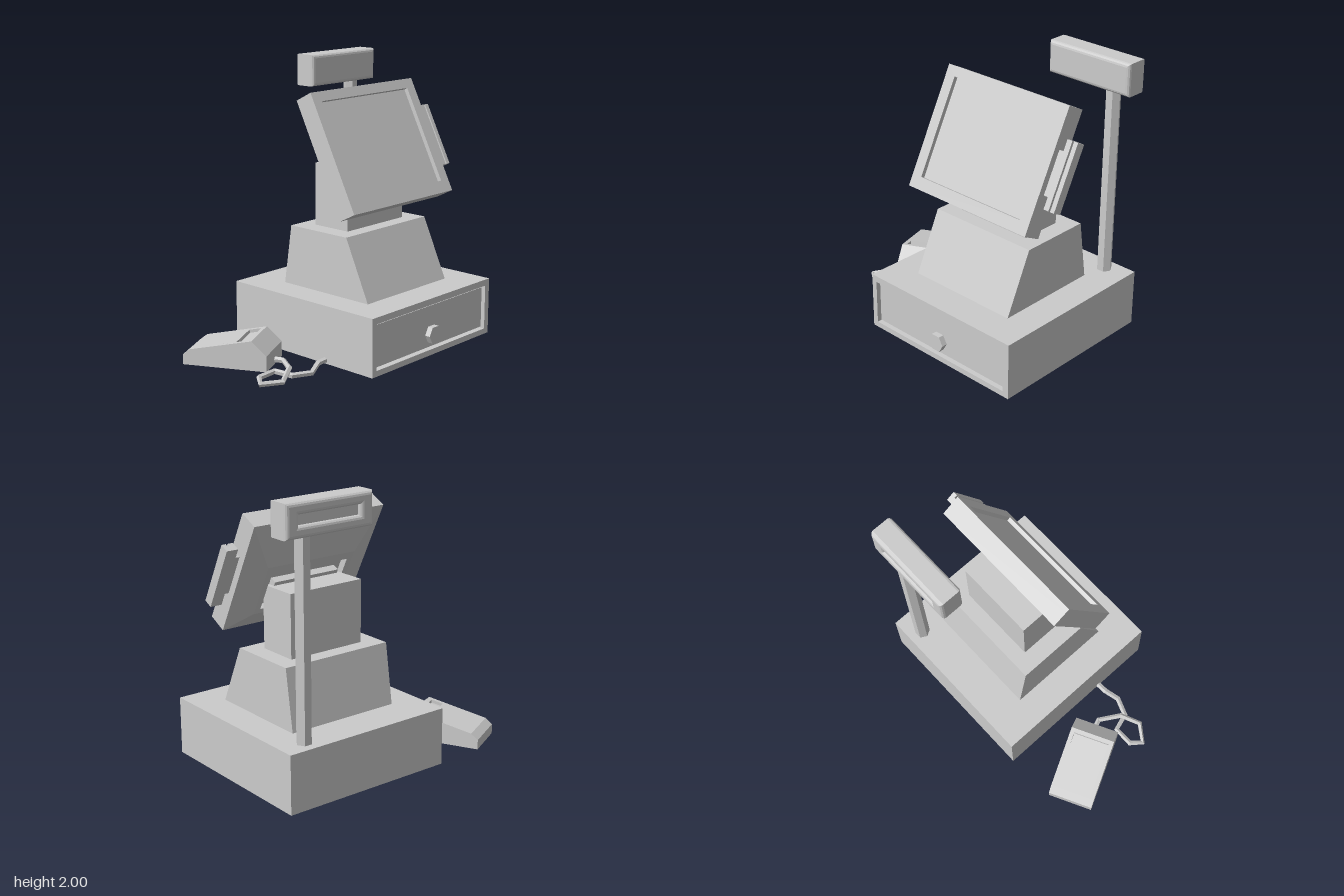
import * as THREE from 'three';

const material = new THREE.MeshStandardMaterial({ color: 0xcccccc, flatShading: true, side: THREE.DoubleSide });
const CX = 0.3175; // centre line of the till

function add(parent, name, geometry) {
  const mesh = new THREE.Mesh(geometry, material);
  mesh.name = name;
  parent.add(mesh);
  return mesh;
}

// Box given by its min and max on each axis
function box(parent, name, [x0, x1], [y0, y1], [z0, z1]) {
  const g = new THREE.BoxGeometry(x1 - x0, y1 - y0, z1 - z0);
  return add(parent, name, g.translate((x0 + x1) / 2, (y0 + y1) / 2, (z0 + z1) / 2));
}

const rect = ([x0, x1], [y0, y1]) =>
  [[x0, y0], [x1, y0], [x1, y1], [x0, y1]].map(p => new THREE.Vector2(...p));

// Rectangular frame with a rectangular opening, extruded from z0 to z1
function frame(parent, name, outer, hole, [z0, z1], options = {}) {
  const shape = new THREE.Shape(rect(...outer));
  shape.holes.push(new THREE.Path(rect(...hole)));
  const g = new THREE.ExtrudeGeometry(shape, { depth: z1 - z0, bevelEnabled: false, ...options });
  return add(parent, name, g.translate(0, 0, z0));
}

// Side profile of [z, y] points, extruded across x
function sideExtrude(parent, name, profile, [x0, x1]) {
  const shape = new THREE.Shape(profile.map(p => new THREE.Vector2(...p)));
  const g = new THREE.ExtrudeGeometry(shape, { depth: x1 - x0, bevelEnabled: false });
  return add(parent, name, g.rotateY(-Math.PI / 2).translate(x1, 0, 0));
}

// Back shell lofted through rectangles [halfWidth, bottom, top, z], closed at the last one
function loftBack(rings) {
  const pos = [], idx = [];
  rings.forEach(([w, b, t, z], i) => {
    pos.push(w, b, z, -w, b, z, -w, t, z, w, t, z);
    if (i === 0) return;
    for (let j = 0; j < 4; j++) {
      const k = (j + 1) % 4, p = 4 * (i - 1), q = 4 * i;
      idx.push(p + j, p + k, q + k, p + j, q + k, q + j);
    }
  });
  const n = 4 * (rings.length - 1);
  idx.push(n, n + 1, n + 2, n, n + 2, n + 3);
  const g = new THREE.BufferGeometry();
  g.setAttribute('position', new THREE.Float32BufferAttribute(pos, 3));
  g.setIndex(idx);
  const flat = g.toNonIndexed();
  flat.computeVertexNormals();
  return flat;
}

function cashDrawer() {
  const g = new THREE.Group();
  g.name = 'cashDrawer';
  const X = [-0.315, 0.955], Y = [0.03, 0.435];
  box(g, 'drawerCase', X, Y, [-0.65, 0.585]);
  frame(g, 'drawerSurround', [X, Y], [[-0.275, 0.91], [0.07, 0.39]], [0.585, 0.63]);
  box(g, 'drawerFront', [-0.26, 0.895], [0.085, 0.377], [0.57, 0.61]);
  const knob = new THREE.CylinderGeometry(0.065, 0.065, 0.06, 6).rotateY(Math.PI / 2).rotateX(Math.PI / 2);
  add(g, 'drawerLock', knob).position.set(0.32, 0.175, 0.62);
  return g;
}

function monitor() {
  // local y runs up the tilted screen, local z out of its face
  const g = new THREE.Group();
  g.name = 'monitor';
  g.position.set(CX, 1.06, 0.37);
  g.rotation.x = -0.471;
  const X = [-0.5225, 0.5225], Y = [0, 0.859];
  box(g, 'screen', X, Y, [-0.143, -0.03]);
  frame(g, 'screenBezel', [X, Y], [[-0.4425, 0.4425], [0.085, 0.79]], [-0.03, 0]);
  add(g, 'monitorBack', loftBack([
    [0.5225, 0, 0.859, -0.143], [0.355, 0.145, 0.538, -0.197],
    [0.31, 0.18, 0.48, -0.197], [0.31, 0.18, 0.48, -0.15],
  ]));
  box(g, 'hinge', [-0.26, 0.26], [0.3, 0.4], [-0.2, -0.145]);
  // Card reader: two plates with a swipe slot between them
  box(g, 'readerBracket', [0.52, 0.57], [0.28, 0.58], [-0.092, -0.048]);
  box(g, 'readerInnerPlate', [0.5625, 0.602], [0.2, 0.66], [-0.104, -0.037]);
  box(g, 'readerCore', [0.6, 0.618], [0.2, 0.66], [-0.104, -0.06]);
  box(g, 'readerOuterPlate', [0.615, 0.647], [0.2, 0.66], [-0.104, -0.037]);
  return g;
}

function customerDisplay() {
  const g = new THREE.Group();
  g.name = 'customerDisplay';
  const pole = new THREE.CylinderGeometry(0.0525, 0.0525, 1.38, 6).rotateY(Math.PI / 2);
  add(g, 'displayPole', pole).position.set(0.772, 1.115, -0.545);
  const r = 0.025, hole = [[0.36, 0.875], [1.83, 1.945]];
  frame(g, 'displayHousing', [[0.285 + r, 0.95 - r], [1.775 + r, 2 - r]], hole, [-0.63 + r, -0.46 - r],
    { bevelEnabled: true, bevelSize: r, bevelThickness: r, bevelSegments: 3 });
  box(g, 'displayPanel', ...hole, [-0.6, -0.46]);
  return g;
}

function scanner() {
  const g = new THREE.Group();
  g.name = 'scanner';
  g.position.set(-0.825, 0, -0.555);
  g.rotation.y = 0.475;
  const tail = [[0, 0.03], [0, 0.1], [0.05, 0.14]];
  const nose = [[0.485, 0.235], [0.59, 0.14], [0.59, 0.03]];
  const windowNotch = [[0.37, 0.21], [0.375, 0.188], [0.455, 0.206], [0.455, 0.2285]];
  sideExtrude(g, 'scannerBody', [...tail, ...windowNotch, ...nose], [-0.133, 0.133]);
  for (const x of [-0.163, 0.133]) sideExtrude(g, 'scannerSide', [...tail, ...nose], [x, x + 0.03]);
  return g;
}

// Angular cable: one straight piece between each pair of points
function cable() {
  const points = [
    [-0.55, 0.06, -0.05], [-0.52, 0.06, 0.02], [-0.61, 0.065, 0.165], [-0.74, 0.025, 0.235],
    [-0.86, 0.02, 0.15], [-0.8, 0.03, 0.075], [-0.66, 0.035, 0.075], [-0.62, 0.025, 0.2],
    [-0.49, 0.02, 0.25], [-0.39, 0.055, 0.215], [-0.3, 0.055, 0.21],
  ].map(p => new THREE.Vector3(...p));
  const curve = new THREE.CatmullRomCurve3(points);
  curve.getPointAt = curve.getPoint;
  curve.getTangentAt = curve.getTangent;
  return new THREE.TubeGeometry(curve, points.length - 1, 0.02, 5);
}

export function createModel() {
  const model = new THREE.Group();
  model.name = 'cashRegister';
  model.add(cashDrawer(), monitor(), customerDisplay(), scanner());
  sideExtrude(model, 'pedestal', [[0.4, 0.435], [0.205, 0.86], [-0.31, 0.86], [-0.375, 0.435]], [-0.1, 0.735]);
  box(model, 'neck', [0.03, 0.61], [0.85, 1.3], [-0.2, 0.1]);
  add(model, 'scannerCable', cable());
  return model;
}
